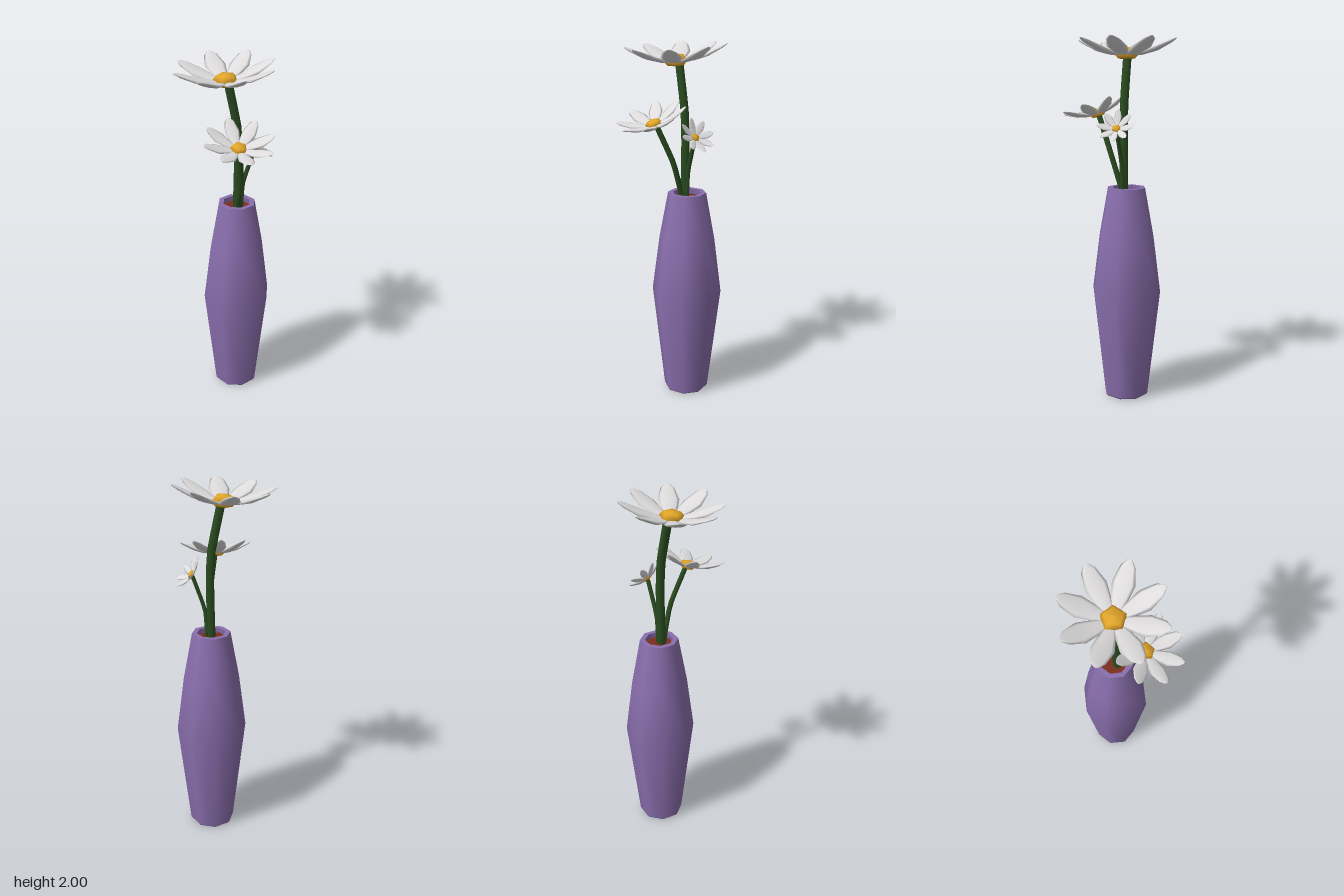
import * as THREE from 'three';

const material = (name, color, side = THREE.FrontSide) => {
  const m = new THREE.MeshStandardMaterial({ color, side });
  m.name = name;
  return m;
};

const addMesh = (parent, name, geometry, mat) => {
  const mesh = new THREE.Mesh(geometry, mat);
  mesh.name = name;
  parent.add(mesh);
  return mesh;
};

const lathe = (profile, sides, start = 0) =>
  new THREE.LatheGeometry(profile.map(([r, y]) => new THREE.Vector2(r, y)), sides, start);

// Closed petal pointing along +z, lofted through flattened oval sections
function petalGeometry() {
  // distance from the flower axis, half width, height, half thickness
  const sections = [
    [0.03, 0, 0, 0], [0.03, 0.018, 0, 0.006], [0.1, 0.042, 0.014, 0.011],
    [0.17, 0.057, 0.036, 0.014], [0.245, 0.037, 0.07, 0.01],
    [0.272, 0.014, 0.083, 0.006], [0.278, 0, 0.086, 0],
  ];
  const sides = 8, positions = [], index = [];
  sections.forEach(([z, w, y, t], i) => {
    for (let j = 0; j < sides; j++) {
      const a = (j / sides) * Math.PI * 2, s = Math.sin(a);
      positions.push(w * Math.cos(a), y + t * s * (s > 0 ? 0.7 : 1), z);
      if (i === sections.length - 1) continue;
      const k = (j + 1) % sides, p = i * sides, q = p + sides;
      index.push(p + j, p + k, q + k, p + j, q + k, q + j);
    }
  });
  const g = new THREE.BufferGeometry();
  g.setAttribute('position', new THREE.Float32BufferAttribute(positions, 3));
  g.setIndex(index);
  g.computeVertexNormals();
  return g;
}

export function createModel() {
  const group = new THREE.Group();
  group.name = 'flowerVase';

  const purple = material('purple glaze', 0x8a6fae);
  const white = material('white petal', 0xdedcdc);
  const gold = material('golden centre', 0xe0a52a);
  const green = material('dark green stem', 0x2a4c20);
  const soilRed = material('red brown soil', 0x7a2e1c);

  // Eight-sided vase, standing off the flower axis
  const vase = new THREE.Group();
  vase.name = 'vase';
  vase.position.set(0.072, 0, -0.068);
  group.add(vase);
  addMesh(vase, 'vaseBody', lathe([
    [0, 0], [0.115, 0], [0.125, 0.012], [0.195, 0.61], [0.155, 0.92], [0.106, 1.185],
  ], 8), purple);
  addMesh(vase, 'vaseRim', lathe([[0.106, 1.185], [0.078, 1.185]], 8), purple);
  addMesh(vase, 'vaseInnerWall', lathe([[0.078, 1.185], [0.085, 1.14]], 8), purple);
  const soil = addMesh(vase, 'soil', new THREE.CircleGeometry(0.085, 8), soilRed);
  soil.rotation.x = -Math.PI / 2;
  soil.position.y = 1.155;

  // Bent stems with a straight lower and upper run
  const addStem = (name, radius, points) => {
    const path = new THREE.CatmullRomCurve3(
      points.map((p) => new THREE.Vector3(...p)), false, 'catmullrom', 0.25);
    addMesh(group, name, new THREE.TubeGeometry(path, 9, radius, 6), green);
  };
  addStem('tallStem', 0.024, [[0.068, 1.13, -0.052], [0.075, 1.45, -0.052], [0.066, 1.64, -0.052], [0.015, 1.89, -0.054]]);
  addStem('middleStem', 0.015, [[0.062, 1.13, -0.05], [0.066, 1.36, 0.022], [0.025, 1.57, 0.105]]);
  addStem('shortStem', 0.012, [[0.09, 1.13, -0.052], [0.103, 1.31, -0.05], [0.168, 1.505, -0.042]]);

  // Flowers share one petal and one five-sided centre
  const petal = petalGeometry();
  const centre = lathe([
    [0, -0.022], [0.048, -0.02], [0.072, 0.006], [0.05, 0.034], [0, 0.044],
  ], 5, Math.PI);
  const addFlower = (name, position, scale, tiltX, tiltZ) => {
    const flower = new THREE.Group();
    flower.name = name;
    flower.position.set(...position);
    flower.rotation.set(tiltX, 0, tiltZ);
    flower.scale.setScalar(scale);
    addMesh(flower, 'flowerCentre', centre, gold);
    for (let i = 0; i < 8; i++) {
      addMesh(flower, 'petal', petal, white).rotation.y = (i * Math.PI) / 4;
    }
    group.add(flower);
  };
  addFlower('tallFlower', [0, 1.895, -0.045], 1, 0.02, 0.06);
  addFlower('middleFlower', [0.017, 1.575, 0.115], 0.7, 0.33, 0.03);
  addFlower('shortFlower', [0.172, 1.512, -0.042], 0.37, 0, -0.92);

  return group;
}
